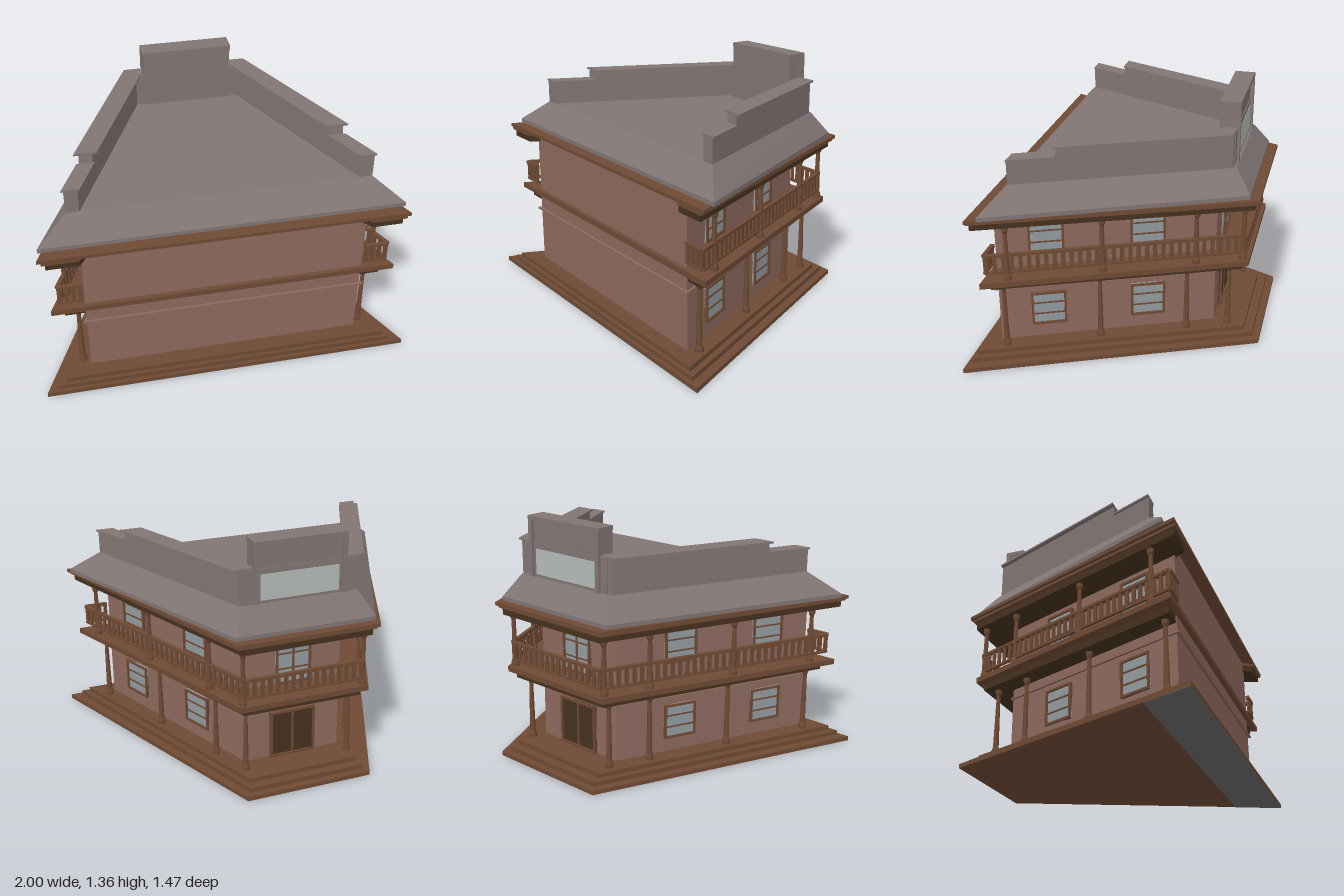
import * as THREE from 'three';
import { ConvexGeometry } from 'three/addons/geometries/ConvexGeometry.js';

const mat = (name, color) => {
  const m = new THREE.MeshStandardMaterial({ color });
  m.name = name;
  return m;
};

export function createModel() {
  const root = new THREE.Group();
  root.name = 'cornerBuilding';
  const brick = mat('brick', 0x8d695d), wood = mat('wood', 0x6e4a34);
  const darkWood = mat('darkWood', 0x46311f), roof = mat('roofGrey', 0x817573);
  const glass = mat('glass', 0x929b9f), pale = mat('signPanel', 0xb4bab9);
  const footing = mat('footing', 0x6a6a6a);
  const SLOPE = 0.44; // sideways taper of the plan towards the back

  const add = (name, geo, m, parent = root) => {
    const mesh = new THREE.Mesh(geo, m);
    mesh.name = name;
    parent.add(mesh);
    return mesh;
  };
  const box = (name, w, h, d, x, y, z, m, parent = root) => {
    const mesh = add(name, new THREE.BoxGeometry(w, h, d), m, parent);
    mesh.position.set(x, y, z);
    return mesh;
  };
  // solid between two flat outlines of [x, z] points
  const solid = (name, low, y0, high, y1, m) => add(name, new ConvexGeometry([
    ...low.map(([x, z]) => new THREE.Vector3(x, y0, z)),
    ...high.map(([x, z]) => new THREE.Vector3(x, y1, z))]), m);
  // symmetric trapezoid: half-width w0 at z0 (front), w1 at z1 (back)
  const trap = (w0, z0, w1, z1) => [[-w0, z0], [w0, z0], [w1, z1], [-w1, z1]];
  const slab = (name, outline, y0, y1, m) => solid(name, outline, y0, outline, y1, m);

  // stepped base
  slab('frontFooting', trap(1, 0.735, 0.885, 0.48), 0, 0.002, footing);
  slab('bottomStep', trap(1, 0.735, 0.353, -0.735), 0.002, 0.025, wood);
  slab('middleStep', trap(0.935, 0.715, 0.325, -0.695), 0.025, 0.05, wood);
  slab('porchFloor', trap(0.89, 0.695, 0.31, -0.645), 0.05, 0.075, wood);

  // brick body and belt
  slab('walls', trap(0.75, 0.61, 0.275, -0.47), 0.075, 0.87, brick);
  slab('beltCourse', trap(0.77, 0.625, 0.285, -0.48), 0.388, 0.398, brick);

  // balcony deck
  slab('balconyTrim', trap(0.86, 0.605, 0.33, -0.625), 0.447, 0.485, darkWood);
  slab('balconyDeck', trap(0.93, 0.635, 0.36, -0.66), 0.485, 0.515, wood);

  // eaves
  slab('eaveBoard', trap(0.97, 0.675, 0.39, -0.705), 0.87, 0.888, wood);
  for (const s of [1, -1]) {
    const outline = (o) => [[0.76, 0.665 + o], [0.93 + 2 * o, 0.665 + o],
      [0.36 + 2 * o, -0.68 - o], [0, -0.68 - o], [0, -0.5]].map(([x, z]) => [s * x, z]);
    slab('eaveFascia', outline(0.01), 0.855, 0.871, wood);
    slab('eaveTrim', outline(0), 0.818, 0.855, darkWood);
  }

  // sloped roof skirt with flat top
  const skirt = trap(0.96, 0.61, 0.385, -0.655);
  slab('roofEdge', skirt, 0.887, 0.91, roof);
  solid('roofSkirt', skirt, 0.91, trap(0.8, 0.5, 0.32, -0.57), 1.03, roof);

  // stepped side parapets with thin caps
  for (const s of [1, -1]) {
    const strip = (z0, z1, o = 0) => [[z0, o], [z1, o], [z1, -0.07 - o], [z0, -0.07 - o]]
      .map(([z, dx]) => [s * (0.576 + 0.4486 * z + dx), z]);
    slab('lowParapet', strip(0.5, 0.275), 1.03, 1.157, roof);
    slab('lowParapetCap', strip(0.5, 0.28, 0.012), 1.155, 1.165, roof);
    solid('highParapet', strip(0.29, -0.55), 1.03, strip(0.275, -0.55), 1.214, roof);
    slab('highParapetCap', strip(0.278, -0.55, 0.025), 1.212, 1.222, roof);
  }

  // raised back board with framed panel
  box('backParapet', 0.6, 0.185, 0.085, 0, 1.1225, -0.5125, roof);
  box('backBoard', 0.5, 0.33, 0.09, 0, 1.195, -0.505, roof);
  box('boardTopFrame', 0.51, 0.022, 0.11, 0, 1.35, -0.515, roof);
  for (const s of [1, -1]) box('boardSideFrame', 0.025, 0.31, 0.03, s * 0.2425, 1.185, -0.555, roof);
  box('signPanel', 0.43, 0.14, 0.006, 0, 1.115, -0.554, pale);

  // turned posts
  const post = (name, x, y0, y1, z) => {
    const p = [[0.022, 0], [0.022, 0.02], [0.016, 0.035], [0.011, 1], [0.018, 1], [0.02, 2]];
    const h = y1 - y0;
    const ys = [0, 0.02, 0.04, h - 0.04, h - 0.025, h];
    const geo = new THREE.LatheGeometry(p.map(([r], i) => new THREE.Vector2(r, ys[i])), 8).toNonIndexed();
    geo.computeVertexNormals();
    add(name, geo, wood).position.set(x, y0, z);
  };
  for (const s of [1, -1]) {
    for (const z of [0.565, 0.1, -0.335, -0.55]) post('lowerPost', s * (0.54 + SLOPE * z), 0.075, 0.45, z);
    for (const z of [0.515, 0.065, -0.39, -0.625]) post('upperPost', s * (0.613 + SLOPE * z), 0.515, 0.82, z);
  }

  // balcony railing: two rails with flat balusters
  const railing = (x0, z0, x1, z1) => {
    const g = new THREE.Group();
    g.name = 'railing';
    const len = Math.hypot(x1 - x0, z1 - z0);
    g.position.set((x0 + x1) / 2, 0, (z0 + z1) / 2);
    g.rotation.y = Math.atan2(-(z1 - z0), x1 - x0);
    box('topRail', len, 0.016, 0.022, 0, 0.655, 0, wood, g);
    box('bottomRail', len, 0.012, 0.016, 0, 0.556, 0, wood, g);
    const n = Math.max(3, Math.round(len / 0.044));
    for (let i = 0; i <= n; i++) {
      box('baluster', 0.021, 0.09, 0.01, (i / n - 0.5) * (len - 0.02), 0.603, 0, wood, g);
    }
    root.add(g);
  };
  for (const s of [1, -1]) {
    railing(s * 0.885, 0.62, s * 0.333, -0.64);
    railing(s * 0.76, 0.62, s * 0.885, 0.62);
  }
  railing(-0.333, -0.64, 0.333, -0.64);

  // framed opening set on a wall; rows of thin panels inside
  const opening = (name, x, y, z, turn, w, h, rows, cols, fill) => {
    const g = new THREE.Group();
    g.name = name;
    g.position.set(x, y, z);
    g.rotation.y = turn;
    box('panel', w, h, 0.008, 0, 0, 0.004, fill, g);
    for (const s of [1, -1]) {
      box('jamb', 0.012, h, 0.02, s * (w / 2 - 0.006), 0, 0.008, wood, g);
      box('rail', w, 0.012, 0.02, 0, s * (h / 2 - 0.006), 0.008, wood, g);
    }
    for (let i = 1; i < rows; i++) box('bar', w, 0.008, 0.014, 0, (i / rows - 0.5) * h, 0.006, wood, g);
    for (let i = 1; i < cols; i++) box('mullion', 0.012, h, 0.014, (i / cols - 0.5) * w, 0, 0.006, wood, g);
    root.add(g);
  };
  for (const s of [1, -1]) {
    for (const z of [0.37, -0.125]) {
      const x = s * (0.4817 + 0.4398 * z), turn = Math.atan2(s, -SLOPE);
      opening('lowerWindow', x, 0.2525, z, turn, 0.188, 0.195, 3, 1, glass);
      opening('upperWindow', x, 0.6875, z, turn, 0.188, 0.195, 3, 1, glass);
    }
  }
  // back entrance and balcony door
  opening('backDoor', 0, 0.2125, -0.47, Math.PI, 0.26, 0.275, 1, 2, darkWood);
  opening('balconyDoor', 0, 0.6475, -0.47, Math.PI, 0.2, 0.265, 3, 2, glass);

  return root;
}
